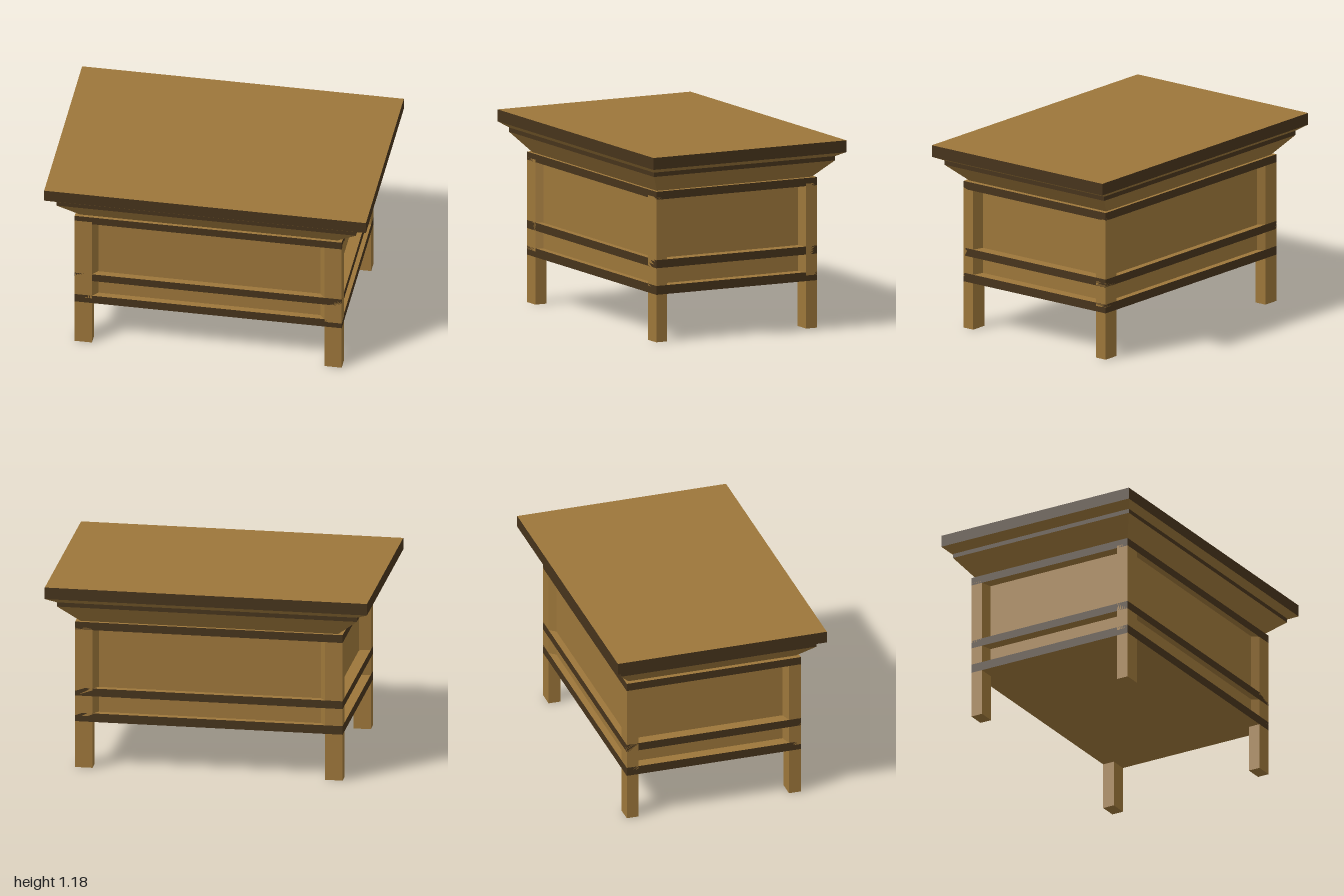
import * as THREE from 'three';

const wood = new THREE.MeshStandardMaterial({ color: 0x9c763a });
const darkWood = new THREE.MeshStandardMaterial({ color: 0x46331b });
// dark edges, plain wood on top and underside
const banded = [darkWood, darkWood, wood, wood, darkWood, darkWood];

// Rectangular block whose half sizes may differ at the bottom and the top
function block(name, y0, y1, bottom, top, material) {
  const g = new THREE.BoxGeometry(2, y1 - y0, 2);
  const p = g.attributes.position;
  for (let i = 0; i < p.count; i++) {
    const [hx, hz] = p.getY(i) > 0 ? top : bottom;
    p.setX(i, p.getX(i) * hx);
    p.setZ(i, p.getZ(i) * hz);
  }
  g.translate(0, (y0 + y1) / 2, 0);
  g.computeVertexNormals();
  const mesh = new THREE.Mesh(g, material);
  mesh.name = name;
  return mesh;
}

export function createModel() {
  const model = new THREE.Group();
  model.name = 'table';
  const frame = [0.83, 0.56], neck = [0.8, 0.54], shelf = [0.93, 0.63], slab = [1, 0.672];

  // Recessed cabinet body
  const panel = [0.76, 0.52];
  model.add(block('cabinetPanels', 0.32, 0.91, panel, panel, wood));

  // Horizontal bands around the body
  const bands = [['lowerBand', 0.295, 0.35], ['middleBand', 0.46, 0.51], ['upperBand', 0.885, 0.935]];
  for (const [name, y0, y1] of bands) model.add(block(name, y0, y1, frame, frame, banded));

  // Flared moulding and table top
  model.add(block('lowerMoulding', 0.935, 1.048, neck, shelf, wood));
  model.add(block('mouldingLip', 1.048, 1.075, shelf, shelf, banded));
  model.add(block('upperMoulding', 1.075, 1.106, shelf, slab, wood));
  model.add(block('tableTop', 1.106, 1.18, slab, slab, banded));

  // Corner posts with bevelled inner sides, and square legs below them
  const profile = [[0.83, 0.56], [0.722, 0.56], [0.69, 0.52], [0.69, 0.465], [0.76, 0.465], [0.83, 0.484]];
  for (const sx of [-1, 1]) for (const sz of [-1, 1]) {
    const shape = new THREE.Shape(profile.map(([x, z]) => new THREE.Vector2(sx * x, -sz * z)));
    const g = new THREE.ExtrudeGeometry(shape, { depth: 0.57, bevelEnabled: false });
    g.rotateX(-Math.PI / 2);
    const post = new THREE.Mesh(g, wood);
    post.position.y = 0.33;
    post.name = 'cornerPost';
    const leg = new THREE.Mesh(new THREE.BoxGeometry(0.108, 0.295, 0.076), wood);
    leg.position.set(sx * 0.776, 0.1475, sz * 0.522);
    leg.name = 'leg';
    model.add(post, leg);
  }
  return model;
}
